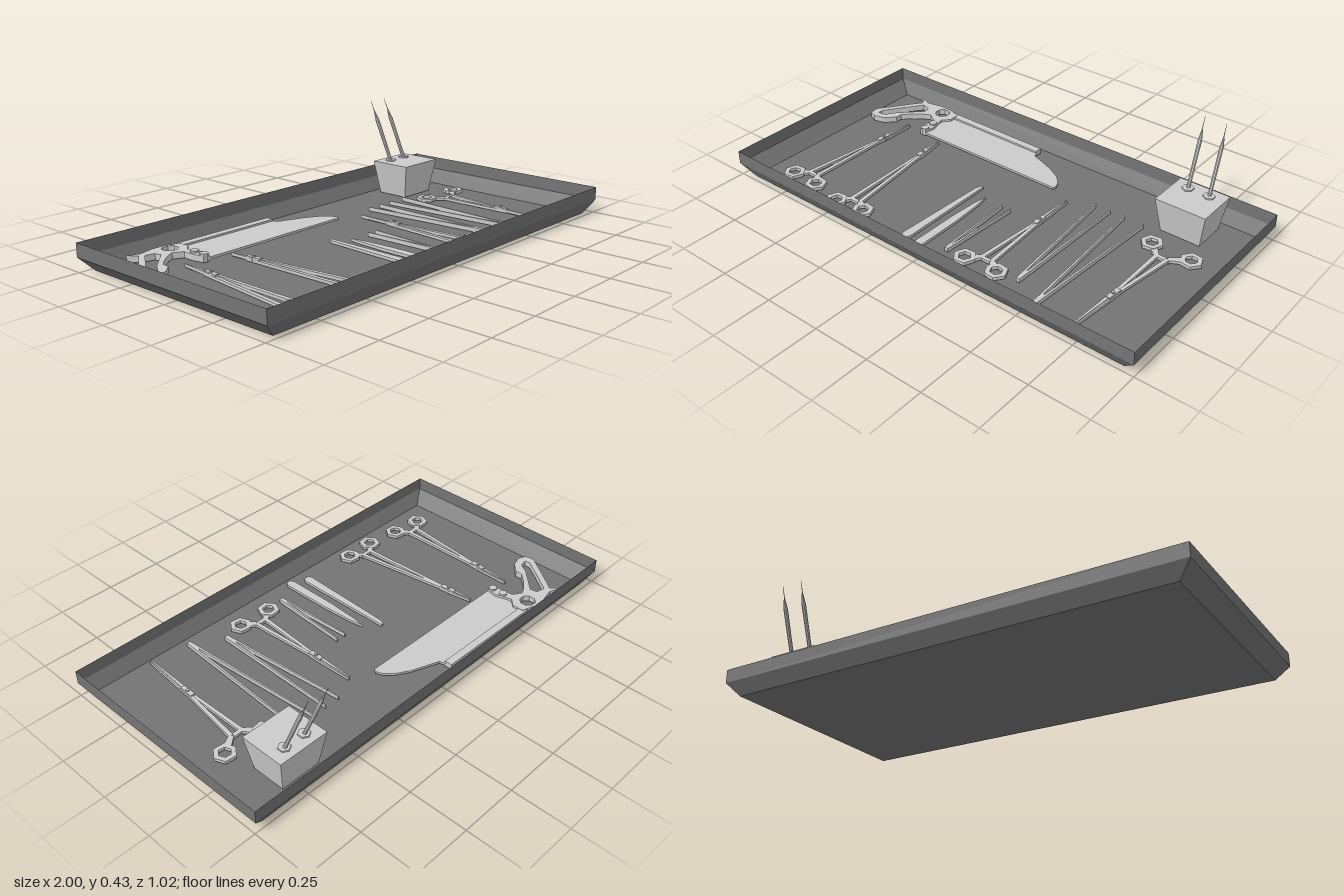
import * as THREE from 'three';

const steel = new THREE.MeshStandardMaterial({ color: 0xcccccc, flatShading: true, side: THREE.DoubleSide });
const dark = new THREE.MeshStandardMaterial({ color: 0x747474, flatShading: true, side: THREE.DoubleSide });
const FLOOR = 0.006;

function mesh(name, geometry, material = steel) {
  const m = new THREE.Mesh(geometry, material);
  m.name = name;
  return m;
}

const vecs = (pts) => pts.map(([x, z]) => new THREE.Vector2(x, z));

// Flat plate cut from an outline in the x/z plane, with optional holes
function plate(name, pts, { holes = [], y = FLOOR, thick = 0.012 } = {}) {
  const shape = new THREE.Shape(vecs(pts));
  holes.forEach((h) => shape.holes.push(new THREE.Path(vecs(h))));
  const geo = new THREE.ExtrudeGeometry(shape, { depth: thick, bevelEnabled: false });
  geo.rotateX(Math.PI / 2).translate(0, y + thick, 0);
  return mesh(name, geo);
}

// Tapered straight strip from a to b
function strip(name, a, b, w0, w1, opts) {
  const dx = b[0] - a[0], dz = b[1] - a[1], l = Math.hypot(dx, dz);
  const nx = -dz / l / 2, nz = dx / l / 2;
  return plate(name, [
    [a[0] + nx * w0, a[1] + nz * w0], [a[0] - nx * w0, a[1] - nz * w0],
    [b[0] - nx * w1, b[1] - nz * w1], [b[0] + nx * w1, b[1] + nz * w1],
  ], opts);
}

function ngon([cx, cz], r, n = 6, turn = 0) {
  return Array.from({ length: n }, (_, i) => {
    const a = turn + (i / n) * Math.PI * 2;
    return [cx + r * Math.cos(a), cz + r * Math.sin(a)];
  });
}

const mix = (a, b, t) => [a[0] + (b[0] - a[0]) * t, a[1] + (b[1] - a[1]) * t];

// Skin over rectangular loops [halfX, y, halfZ]; capAt closes one loop
function rectLoft(loops, capAt) {
  const pos = [];
  const corner = ([x, y, z], i) => [[x, y, z], [x, y, -z], [-x, y, -z], [-x, y, z]][i % 4];
  const quad = (a, b, c, d) => pos.push(...a, ...b, ...c, ...a, ...c, ...d);
  for (let k = 0; k + 1 < loops.length; k++) {
    for (let i = 0; i < 4; i++) {
      quad(corner(loops[k], i), corner(loops[k], i + 1), corner(loops[k + 1], i + 1), corner(loops[k + 1], i));
    }
  }
  const c = [0, 1, 2, 3].map((i) => corner(loops[capAt], i));
  if (capAt === 0) c.reverse();
  quad(...c);
  const geo = new THREE.BufferGeometry();
  geo.setAttribute('position', new THREE.Float32BufferAttribute(pos, 3));
  geo.computeVertexNormals();
  return geo;
}

// Ring-handled clamp: two finger rings, two shanks, a pivot and closed jaws
function clamp(name, ringA, ringB, yoke, tip, pivotT) {
  const g = new THREE.Group();
  g.name = name;
  const pivot = mix(yoke, tip, pivotT);
  [ringA, ringB].forEach((ring, i) => {
    const side = Math.sign(ring[0] - yoke[0]);
    const start = [yoke[0] + side * 0.025, yoke[1]];
    const turn = side * 0.12;
    const y = FLOOR + i * 0.004;
    g.add(plate('fingerRing', ngon(ring, 0.047, 6, turn), { holes: [ngon(ring, 0.026, 6, turn)], y, thick: 0.014 }));
    const d = Math.hypot(start[0] - ring[0], start[1] - ring[1]);
    g.add(strip('ringNeck', mix(ring, start, 0.036 / d), start, 0.03, 0.02, { y }));
    g.add(strip('shank', start, [pivot[0] + side * 0.004, pivot[1]], 0.018, 0.013, { y }));
    g.add(strip('jaw', [pivot[0] - side * 0.004, pivot[1]], [tip[0] - side * 0.002, tip[1]], 0.015, 0.005, { y }));
  });
  g.add(strip('ratchet', [yoke[0] - 0.035, yoke[1]], [yoke[0] + 0.035, yoke[1]], 0.018, 0.018));
  g.add(strip('boxJoint', mix(yoke, tip, pivotT - 0.06), mix(yoke, tip, pivotT + 0.06), 0.022, 0.018, { thick: 0.02 }));
  const pin = mesh('pivotPin', new THREE.CylinderGeometry(0.007, 0.007, 0.026, 8));
  pin.position.set(pivot[0], FLOOR + 0.013, pivot[1]);
  g.add(pin);
  return g;
}

// Tweezers: two thin legs joined at one end
function tweezers(name, tipA, tipB, heel) {
  const g = new THREE.Group();
  g.name = name;
  [tipA, tipB].forEach((t, i) => g.add(strip('leg', [heel[0] + (i - 0.5) * 0.006, heel[1]], t, 0.01, 0.005, { thick: 0.018 })));
  g.add(strip('heel', heel, mix(heel, mix(tipA, tipB, 0.5), 0.1), 0.01, 0.014, { thick: 0.018 }));
  return g;
}

function boneSaw() {
  const g = new THREE.Group();
  g.name = 'saw';
  g.add(plate('sawBlade', [
    [-0.63, -0.23], [-0.61, -0.3], [-0.6, -0.425], [-0.1, -0.415], [-0.09, -0.385], [0.03, -0.34],
    [0.09, -0.305], [0.12, -0.27], [0.13, -0.245], [0.125, -0.23],
  ], { y: 0.012, thick: 0.01 }));
  g.add(strip('spine', [-0.6, -0.425], [-0.1, -0.422], 0.034, 0.034, { thick: 0.024 }));
  // Handle with a long grip opening and a round finger opening
  g.add(plate('sawHandle', [
    [-0.82, -0.455], [-0.77, -0.435], [-0.7, -0.45], [-0.64, -0.45], [-0.58, -0.43], [-0.58, -0.38],
    [-0.61, -0.35], [-0.6, -0.31], [-0.59, -0.28], [-0.6, -0.23], [-0.63, -0.23], [-0.64, -0.28],
    [-0.64, -0.33], [-0.68, -0.355], [-0.71, -0.34], [-0.75, -0.31], [-0.79, -0.27], [-0.79, -0.24],
    [-0.83, -0.2], [-0.88, -0.185], [-0.915, -0.2], [-0.92, -0.24], [-0.87, -0.31], [-0.82, -0.38], [-0.79, -0.42],
  ], {
    holes: [
      [[-0.77, -0.405], [-0.73, -0.395], [-0.725, -0.365], [-0.77, -0.32], [-0.82, -0.27], [-0.85, -0.225], [-0.885, -0.22], [-0.885, -0.245], [-0.84, -0.31]],
      ngon([-0.65, -0.405], 0.034, 8, 0.4),
    ],
    thick: 0.026,
  }));
  [[-0.615, -0.3], [-0.615, -0.245]].forEach(([x, z]) => {
    const screw = mesh('handleScrew', new THREE.CylinderGeometry(0.018, 0.018, 0.034, 8));
    screw.position.set(x, FLOOR + 0.017, z);
    g.add(screw);
  });
  return g;
}

// Rod whose axis runs from a to b
function rod(name, a, b, r0, r1) {
  const A = new THREE.Vector3(...a), B = new THREE.Vector3(...b), d = B.clone().sub(A);
  const m = mesh(name, new THREE.CylinderGeometry(r1, r0, d.length(), 8));
  m.position.copy(A).add(B).multiplyScalar(0.5);
  m.quaternion.setFromUnitVectors(new THREE.Vector3(0, 1, 0), d.normalize());
  return m;
}

function needleBlock() {
  const g = new THREE.Group();
  g.name = 'needleBlock';
  const block = mesh('block', rectLoft([[0.088, 0.004, 0.074], [0.112, 0.156, 0.098]], 1));
  block.position.set(0.712, 0, -0.348);
  g.add(block);
  [0.663, 0.758].forEach((x) => {
    const collar = mesh('collar', new THREE.CylinderGeometry(0.025, 0.025, 0.008, 6));
    collar.position.set(x, 0.158, -0.394);
    g.add(collar);
    g.add(rod('probeHandle', [x, 0.155, -0.395], [x - 0.01, 0.34, -0.469], 0.008, 0.009));
    g.add(rod('probeTaper', [x - 0.01, 0.34, -0.469], [x - 0.013, 0.38, -0.485], 0.009, 0.003));
    g.add(rod('probeNeedle', [x - 0.013, 0.37, -0.481], [x - 0.017, 0.43, -0.505], 0.002, 0.0008));
  });
  return g;
}

export function createModel() {
  const model = new THREE.Group();
  model.name = 'instrumentTray';

  // Sheet tray with a sloped lower wall and an upright rim
  model.add(mesh('tray', rectLoft([[0.945, 0, 0.475], [1, 0.058, 0.508], [1, 0.115, 0.508]], 0), dark));
  model.add(boneSaw(), needleBlock());

  // Clamps and scissors
  model.add(
    clamp('clampOne', [-0.818, 0.364], [-0.674, 0.375], [-0.742, 0.325], [-0.71, -0.24], 0.72),
    clamp('clampTwo', [-0.524, 0.4], [-0.38, 0.39], [-0.455, 0.355], [-0.503, -0.21], 0.8),
    clamp('clampThree', [0.144, 0.364], [0.3, 0.364], [0.222, 0.325], [0.225, -0.19], 0.64),
    clamp('scissors', [0.652, -0.166], [0.834, -0.155], [0.735, -0.105], [0.7, 0.45], 0.55),
  );

  // Flat knives
  model.add(plate('spatula', [
    [-0.13, -0.03], [-0.122, -0.052], [-0.11, -0.055], [-0.108, 0.4], [-0.115, 0.413], [-0.14, 0.413], [-0.147, 0.4],
  ]));
  model.add(plate('knife', [
    [-0.053, 0], [-0.043, 0.06], [-0.034, 0.2], [-0.033, 0.43], [-0.042, 0.448], [-0.062, 0.448], [-0.071, 0.43], [-0.07, 0.2], [-0.062, 0.06],
  ]));

  // Tweezers
  model.add(
    tweezers('smallTweezers', [0.042, 0.01], [0.086, 0.01], [0.06, 0.375]),
    tweezers('mediumTweezers', [0.335, -0.24], [0.405, -0.24], [0.392, 0.35]),
    tweezers('largeTweezers', [0.473, -0.24], [0.565, -0.24], [0.524, 0.43]),
  );
  return model;
}
